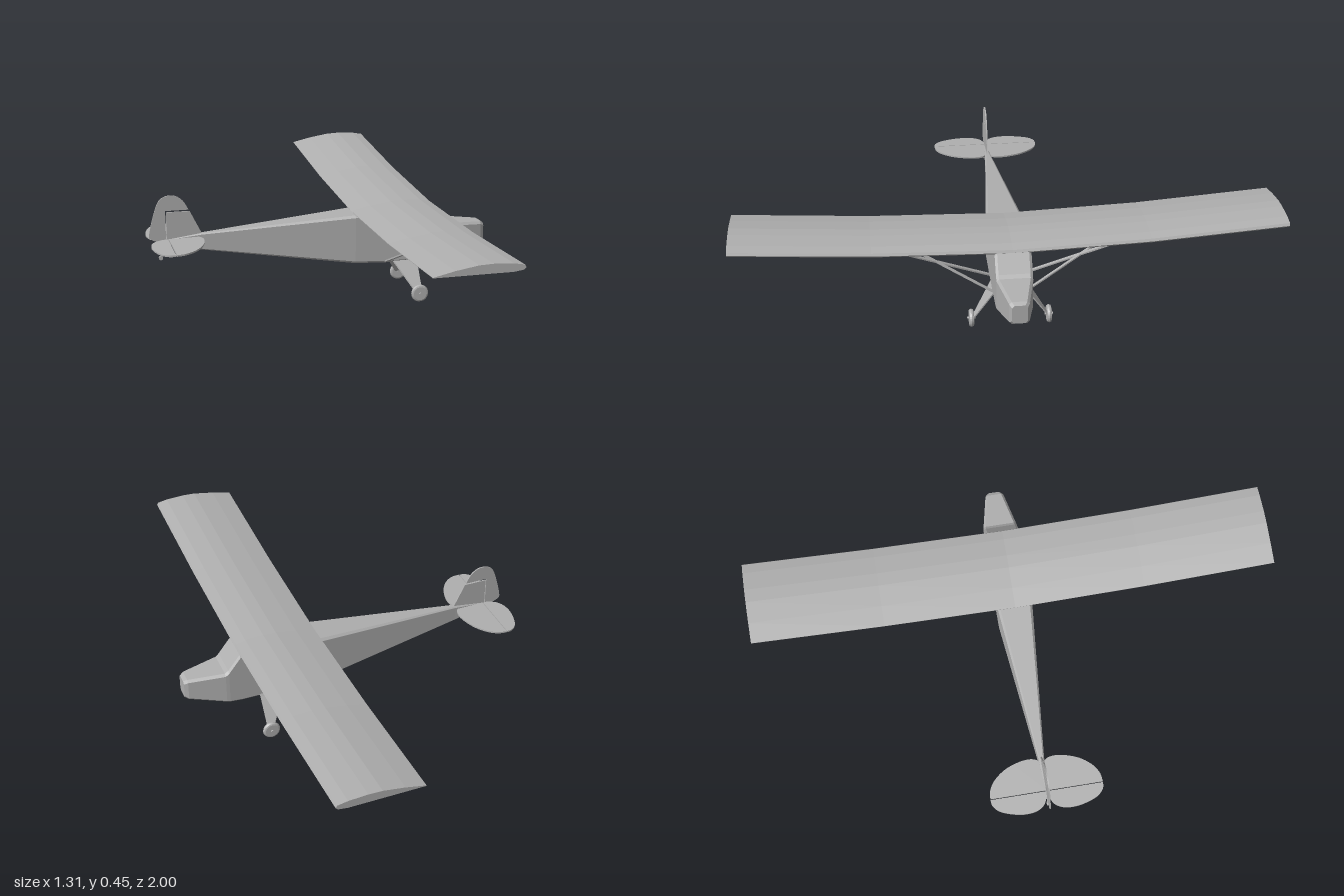
import * as THREE from 'three';

const grey = new THREE.MeshStandardMaterial({ color: 0xb0b0b0, flatShading: true });
grey.name = 'plain grey';

function add(parent, name, geometry) {
  const mesh = new THREE.Mesh(geometry, grey);
  mesh.name = name;
  parent.add(mesh);
  return mesh;
}

// Skin through equal-length loops of [x, y, z], closed at both ends
function loft(sections) {
  const n = sections[0].length;
  const last = (sections.length - 1) * n;
  const index = [];
  for (let s = 0; s < last; s += n) {
    for (let i = 0; i < n; i++) {
      const j = (i + 1) % n;
      index.push(s + i, s + j, s + n + j, s + i, s + n + j, s + n + i);
    }
  }
  for (let i = 1; i < n - 1; i++) {
    index.push(0, i + 1, i, last, last + i, last + i + 1);
  }
  const g = new THREE.BufferGeometry();
  g.setAttribute('position', new THREE.Float32BufferAttribute(sections.flat(2), 3));
  g.setIndex(index);
  g.computeVertexNormals();
  return g;
}

// Flat bar running outwards in z: ends are [x0, x1, y, z]
function slat(a, b, t) {
  return loft([a, b].map(([x0, x1, y, z]) => [
    [x0, y - t, z], [x1, y - t, z], [x1, y + t, z], [x0, y + t, z],
  ]));
}

// Thin plate in the xy plane: straight corners followed by a smooth outline
function plate(corners, curve, depth) {
  const shape = new THREE.Shape(corners.map(p => new THREE.Vector2(...p)));
  if (curve.length) shape.splineThru(curve.map(p => new THREE.Vector2(...p)));
  const g = new THREE.ExtrudeGeometry(shape, { depth, bevelEnabled: false, curveSegments: 24 });
  return g.translate(0, 0, -depth / 2);
}

export function createModel() {
  const plane = new THREE.Group();
  plane.name = 'lightAircraft';

  // Fuselage: [x, bottom, top, half width]
  const stations = [
    [-0.594, 0.257, 0.275, 0.003],
    [-0.46, 0.229, 0.293, 0.011],
    [0.125, 0.146, 0.337, 0.066],
    [0.25, 0.14, 0.345, 0.066],
    [0.443, 0.141, 0.35, 0.066],
    [0.49, 0.145, 0.29, 0.066],
    [0.503, 0.148, 0.28, 0.065],
    [0.64, 0.181, 0.27, 0.036],
    [0.654, 0.19, 0.262, 0.028],
  ];
  add(plane, 'fuselage', loft(stations.map(([x, b, t, w]) => {
    const c = Math.min(0.009, w * 0.4);
    return [
      [x, t, c - w], [x, t, w - c], [x, t - c, w], [x, b + c, w],
      [x, b, w - c], [x, b, c - w], [x, b + c, -w], [x, t - c, -w],
    ];
  })));

  // Wing: one flat-bottomed airfoil with a dihedral break halfway out
  const airfoil = [
    [0.125, 0], [0.4, 0.001], [0.435, 0.006], [0.443, 0.014], [0.438, 0.023],
    [0.4, 0.03], [0.33, 0.034], [0.28, 0.032], [0.2, 0.019], [0.125, 0.002],
  ];
  const ribs = [[-1, 0.386], [-0.5, 0.352], [0, 0.336], [0.5, 0.352], [1, 0.386]];
  add(plane, 'wing', loft(ribs.map(([z, base]) => airfoil.map(([x, y]) => [x, base + y, z]))));

  // Fin and rudder
  add(plane, 'fin', plate(
    [[-0.591, 0.265], [-0.46, 0.285], [-0.458, 0.292], [-0.502, 0.381], [-0.591, 0.381]], [], 0.005));
  add(plane, 'rudder', plate(
    [[-0.594, 0.26], [-0.594, 0.387], [-0.506, 0.387]],
    [[-0.525, 0.42], [-0.55, 0.44], [-0.577, 0.445], [-0.605, 0.437], [-0.625, 0.413],
      [-0.645, 0.35], [-0.657, 0.295], [-0.65, 0.28], [-0.62, 0.266], [-0.594, 0.26]], 0.005));

  // Parts repeated on both sides
  for (const side of [1, -1]) {
    const half = new THREE.Group();
    half.name = side > 0 ? 'leftSide' : 'rightSide';
    half.scale.z = side;
    plane.add(half);

    // Tailplane and elevator, tilted slightly nose up
    const tail = new THREE.Group();
    tail.name = 'horizontalTail';
    tail.position.set(-0.56, 0.275, 0);
    tail.rotation.z = 0.04;
    half.add(tail);
    const stabilizer = plate(
      [[-0.023, 0.21], [-0.023, 0], [0.06, 0]],
      [[0.09, 0.012], [0.102, 0.04], [0.098, 0.085], [0.078, 0.14], [0.045, 0.183],
        [0.01, 0.205], [-0.023, 0.21]], 0.006);
    const elevator = plate(
      [[-0.045, 0.003], [-0.026, 0.003], [-0.026, 0.21]],
      [[-0.05, 0.205], [-0.075, 0.18], [-0.093, 0.13], [-0.099, 0.085], [-0.093, 0.045],
        [-0.075, 0.018], [-0.045, 0.003]], 0.006);
    add(tail, 'stabilizer', stabilizer.rotateX(Math.PI / 2));
    add(tail, 'elevator', elevator.rotateX(Math.PI / 2));

    // Crossed wing struts
    add(half, 'wingStrut', slat([0.241, 0.254, 0.146, 0.06], [0.362, 0.375, 0.353, 0.46], 0.003));
    add(half, 'wingStrut', slat([0.363, 0.376, 0.146, 0.06], [0.246, 0.259, 0.353, 0.46], 0.003));

    // Landing gear leg and axle
    add(half, 'gearLeg', slat([0.275, 0.372, 0.148, 0.058], [0.348, 0.372, 0.035, 0.139], 0.004));
    const axle = add(half, 'axle', new THREE.CylinderGeometry(0.005, 0.005, 0.03, 12).rotateX(Math.PI / 2));
    axle.position.set(0.36, 0.034, 0.144);

    // Wheel with rounded tread
    const tread = [[0, -0.009], [0.026, -0.009], [0.031, -0.007], [0.034, 0],
      [0.031, 0.007], [0.026, 0.009], [0, 0.009]];
    const wheel = add(half, 'wheel', new THREE.LatheGeometry(
      tread.map(p => new THREE.Vector2(...p)), 28).rotateX(Math.PI / 2));
    wheel.position.set(0.36, 0.034, 0.144);
  }

  // Tail wheel on a bent wire
  const wire = new THREE.CatmullRomCurve3([
    [-0.575, 0.262, 0], [-0.595, 0.248, 0], [-0.608, 0.23, 0], [-0.615, 0.206, 0],
  ].map(p => new THREE.Vector3(...p)));
  add(plane, 'tailWheelWire', new THREE.TubeGeometry(wire, 12, 0.003, 8));
  const tailWheel = add(plane, 'tailWheel', new THREE.CylinderGeometry(0.008, 0.008, 0.008, 16).rotateX(Math.PI / 2));
  tailWheel.position.set(-0.615, 0.205, 0);

  return plane;
}
